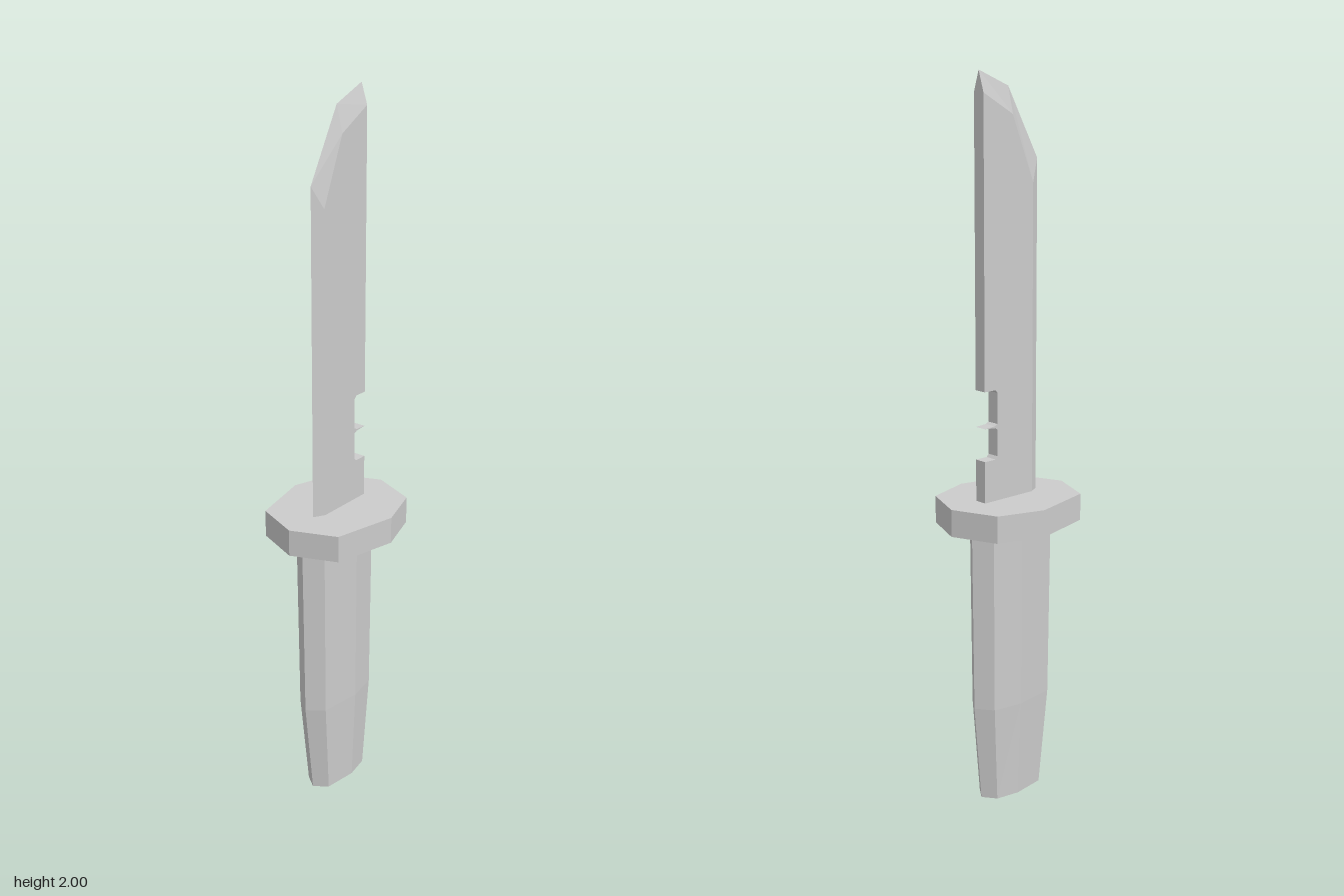
import * as THREE from 'three';

const material = new THREE.MeshStandardMaterial({ color: 0xcccccc, flatShading: true });

// Eight-sided loft; each ring is [y, half width, front z, back z], bottom to top
function octagonLoft(name, rings) {
  const n = rings.length - 1;
  const geo = new THREE.CylinderGeometry(1, 1, 1, 8, n);
  const p = geo.attributes.position;
  for (let i = 0; i < p.count; i++) {
    const [y, rx, front, back] = rings[Math.round((p.getY(i) + 0.5) * n)];
    const sx = p.getX(i), sz = p.getZ(i);
    const diagonal = Math.abs(sx) > 0.5 && Math.abs(sx) < 0.9;
    let x = sx, z = sz;
    if (diagonal) {
      x = Math.sign(sx) * 0.75;
      z = Math.sign(sz) * 0.75;
    } else if (Math.abs(sx) > 0.9) {
      z = -0.12; // widest corner sits slightly behind the middle
    }
    p.setXYZ(i, x * rx, y, (front + back) / 2 + z * (front - back) / 2);
  }
  const flat = geo.toNonIndexed();
  flat.computeVertexNormals();
  const mesh = new THREE.Mesh(flat, material);
  mesh.name = name;
  return mesh;
}

// Blade: side outline extruded across x, with the middle layer pushed out to a sharp edge
function makeBlade() {
  const edge = [ // [z, y] on the flat side, then [z, y] on the sharp edge
    [0.072, 0.84, 0.103, 0.84],
    [0.072, 1.715, 0.103, 1.775],
    [0, 1.89, 0, 1.96],
    [-0.1, 1.945, -0.1, 2],
  ];
  const spine = [ // back with the notch and its small spike
    [-0.1, 1.18], [-0.062, 1.18], [-0.055, 1.172],
    [-0.055, 1.087], [-0.065, 1.082], [-0.1, 1.08], [-0.065, 1.077], [-0.055, 1.072],
    [-0.055, 0.998], [-0.062, 0.99], [-0.1, 0.99], [-0.1, 0.84],
  ];
  const outline = [...edge, ...spine].map(([z, y]) => new THREE.Vector2(z, y));
  const geo = new THREE.ExtrudeGeometry(new THREE.Shape(outline), {
    depth: 0.036, steps: 2, bevelEnabled: false,
  });
  geo.translate(0, 0, -0.018);
  const p = geo.attributes.position;
  for (let i = 0; i < p.count; i++) {
    if (Math.abs(p.getZ(i)) > 0.005) continue;
    const hit = edge.find(([z, y]) => Math.hypot(p.getX(i) - z, p.getY(i) - y) < 1e-4);
    if (hit) p.setXY(i, hit[2], hit[3]);
  }
  geo.rotateY(-Math.PI / 2);
  geo.computeVertexNormals();
  const mesh = new THREE.Mesh(geo, material);
  mesh.name = 'blade';
  return mesh;
}

export function createModel() {
  const group = new THREE.Group();
  group.name = 'knife';
  group.add(
    octagonLoft('handle', [
      [0, 0.05, 0.112, -0.103],
      [0.28, 0.062, 0.143, -0.127],
      [0.81, 0.065, 0.15, -0.132],
    ]),
    octagonLoft('guard', [
      [0.8, 0.168, 0.204, -0.204],
      [0.875, 0.168, 0.204, -0.204],
    ]),
    makeBlade(),
  );
  return group;
}
